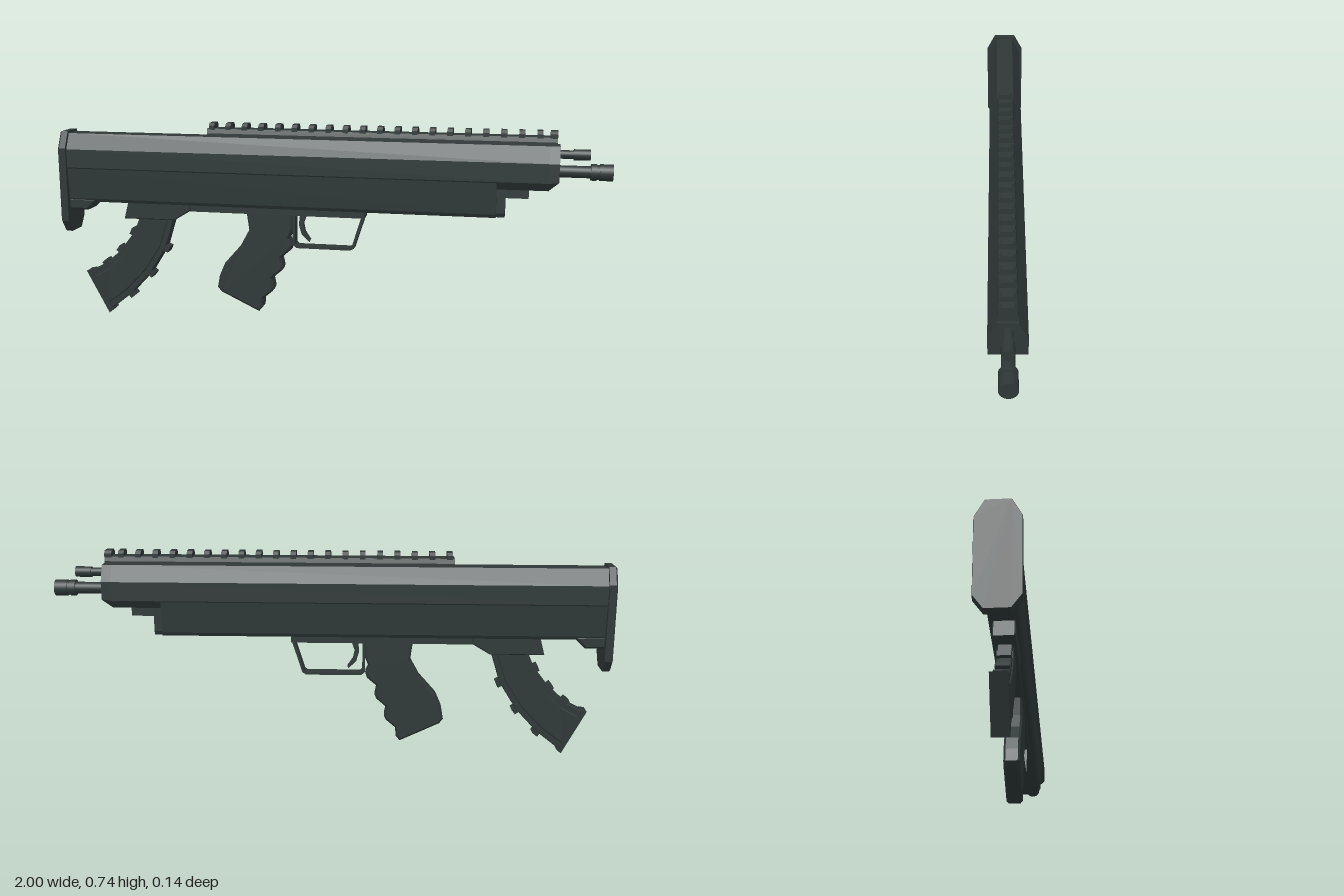
import * as THREE from 'three';

const gunmetal = new THREE.MeshStandardMaterial({ color: 0x2e3837 });
gunmetal.name = 'dark gunmetal';

export function createModel() {
  const model = new THREE.Group();
  const add = (name, geometry, parent = model) => {
    const mesh = new THREE.Mesh(geometry, gunmetal);
    mesh.name = name;
    parent.add(mesh);
    return mesh;
  };
  const group = (name) => {
    const g = new THREE.Group();
    g.name = name;
    model.add(g);
    return g;
  };

  // Symmetric sections along x; each half runs from top to bottom as [z, y]
  const loft = (sections) => {
    const rings = sections.map(([x, half]) =>
      [...half, ...half.map(([z, y]) => [-z, y]).reverse()].map(([z, y]) => [x, y, z]));
    const n = rings[0].length;
    const pos = [];
    const tri = (...corners) => corners.forEach((c) => pos.push(...c));
    for (let s = 0; s < rings.length - 1; s++) {
      const [a, b] = [rings[s], rings[s + 1]];
      for (let i = 0; i < n; i++) {
        const j = (i + 1) % n;
        tri(a[i], a[j], b[j]);
        tri(a[i], b[j], b[i]);
      }
    }
    const [first, last] = [rings[0], rings[rings.length - 1]];
    for (let i = 1; i < n - 1; i++) {
      tri(first[0], first[i + 1], first[i]);
      tri(last[0], last[i], last[i + 1]);
    }
    const g = new THREE.BufferGeometry();
    g.setAttribute('position', new THREE.Float32BufferAttribute(pos, 3));
    g.computeVertexNormals();
    return g;
  };

  // Side outline in x/y, extruded to +-halfWidth with chamfered edges
  const slab = (points, halfWidth, bevel = 0, hole) => {
    const shape = new THREE.Shape(points.map(([x, y]) => new THREE.Vector2(x, y)));
    if (hole) shape.holes.push(new THREE.Path(hole.map(([x, y]) => new THREE.Vector2(x, y))));
    const g = new THREE.ExtrudeGeometry(shape, {
      depth: 2 * (halfWidth - bevel), bevelEnabled: bevel > 0, bevelThickness: bevel,
      bevelSize: bevel, bevelOffset: -bevel, bevelSegments: 1,
    });
    return g.translate(0, 0, bevel - halfWidth);
  };
  const box = (x0, x1, y0, y1, halfWidth) =>
    new THREE.BoxGeometry(x1 - x0, y1 - y0, halfWidth * 2).translate((x0 + x1) / 2, (y0 + y1) / 2, 0);
  const rod = (x0, x1, y, r) =>
    new THREE.CylinderGeometry(r, r, x1 - x0, 24).rotateZ(-Math.PI / 2).translate((x0 + x1) / 2, y, 0);

  // Receiver: faceted upper shell with a sloping chin, tapered lower shell
  const upper = [[0.031, 0.692], [0.06, 0.635], [0.06, 0.567], [0.04, 0.538]];
  const nose = [[0.031, 0.692], [0.06, 0.635], [0.06, 0.572], [0.06, 0.571]];
  add('upperReceiver', loft([[-0.975, upper], [0.785, upper], [0.82, nose]]));
  const lower = [[0.057, 0.563], [0.05, 0.45], [0.042, 0.437]];
  add('lowerReceiver', loft([[-0.975, lower], [0.61, lower]]));
  const foreEnd = [[0.035, 0.54], [0.035, 0.452], [0.028, 0.437]];
  add('foreEndCap', loft([[0.6, foreEnd], [0.64, foreEnd]]));
  add('foreEndStep', box(0.63, 0.72, 0.507, 0.545, 0.033));
  add('bottomPlate', box(-0.52, 0.145, 0.412, 0.445, 0.03));

  // Shoulder end
  const butt = (s) => [[0.04 * s, 0.51 + 0.19 * s], [0.072 * s, 0.51 + 0.13 * s],
    [0.072 * s, 0.51 - 0.145 * s], [0.04 * s, 0.51 - 0.19 * s]];
  add('buttPlate', loft([[-1, butt(0.98)], [-0.995, butt(1)], [-0.972, butt(1)]]));
  add('stockFoot', slab([[-0.98, 0.45], [-0.98, 0.405], [-0.905, 0.405], [-0.872, 0.437], [-0.872, 0.45]],
    0.048, 0.008));

  // Top rail with evenly spaced teeth
  const rail = group('topRail');
  const base = [[0.026, 0.722], [0.031, 0.705], [0.031, 0.688]];
  add('railBase', loft([[-0.435, base], [0.81, base]]), rail);
  const tooth = [[0.018, 0.742], [0.028, 0.732], [0.028, 0.718]];
  for (let i = 0; i < 20; i++) {
    const x = -0.428 + i * 0.0615;
    add('railTooth', loft([[x, tooth], [x + 0.02, tooth]]), rail);
  }
  add('railEnd', loft([[0.785, tooth], [0.81, tooth]]), rail);

  // Barrel with muzzle, gas tube above it
  const barrel = group('barrel');
  add('barrelTube', rod(0.8, 0.95, 0.602, 0.021), barrel);
  add('muzzleCollar', rod(0.925, 0.945, 0.602, 0.029), barrel);
  add('muzzleNeck', rod(0.94, 0.96, 0.602, 0.026), barrel);
  add('muzzle', rod(0.955, 1, 0.602, 0.029), barrel);
  add('gasTube', rod(0.8, 0.88, 0.661, 0.015), barrel);
  add('gasTubeCap', rod(0.865, 0.922, 0.661, 0.019), barrel);

  // Magazine well and curved magazine
  add('magazineWell', slab([[-0.745, 0.45], [-0.765, 0.376], [-0.57, 0.376], [-0.505, 0.415], [-0.505, 0.45]],
    0.036, 0.004));
  const magazine = group('magazine');
  const rear = [[-0.7, 0.4], [-0.735, 0.32], [-0.79, 0.25], [-0.85, 0.195], [-0.922, 0.158]];
  const front = [[-0.57, 0.4], [-0.612, 0.265], [-0.675, 0.165], [-0.755, 0.08], [-0.842, 0.012]];
  const mix = (a, b, t) => [a[0] + (b[0] - a[0]) * t, a[1] + (b[1] - a[1]) * t];
  const band = (t0, t1) => [...rear.map((p, i) => mix(p, front[i], t0)),
    ...rear.map((p, i) => mix(p, front[i], t1)).reverse()];
  add('magazineBody', slab(band(0, 1), 0.023, 0.003), magazine);
  add('magazineSidePanel', slab(band(0.15, 0.85), 0.027, 0.003), magazine);
  add('magazineBase', slab([[-0.93, 0.162], [-0.845, 0], [-0.828, 0.015], [-0.91, 0.166]], 0.027), magazine);
  for (let i = 1; i < 4; i++) {
    for (const [own, other] of [[rear[i], front[i]], [front[i], rear[i]]]) {
      const lug = new THREE.BoxGeometry(0.036, 0.024, 0.044);
      lug.rotateZ(Math.atan2(other[1] - own[1], other[0] - own[0]));
      const [x, y] = mix(own, other, 0.03);
      add('magazineLug', lug.translate(x, y, 0), magazine);
    }
  }

  // Pistol grip with finger grooves
  add('grip', slab([[-0.295, 0.425], [-0.285, 0.35], [-0.318, 0.29], [-0.38, 0.22], [-0.402, 0.17],
    [-0.41, 0.125], [-0.395, 0.108], [-0.252, 0.04], [-0.237, 0.058], [-0.235, 0.09], [-0.2, 0.12],
    [-0.193, 0.135], [-0.2, 0.17], [-0.165, 0.2], [-0.158, 0.215], [-0.165, 0.25], [-0.13, 0.28],
    [-0.123, 0.3], [-0.135, 0.325], [-0.12, 0.36], [-0.12, 0.425]], 0.027, 0.007));

  // Trigger guard and trigger
  add('triggerGuard', slab([[-0.122, 0.425], [-0.122, 0.302], [-0.108, 0.289], [0.092, 0.289], [0.106, 0.297],
    [0.147, 0.425]], 0.02, 0,
  [[-0.112, 0.416], [0.133, 0.416], [0.098, 0.305], [0.089, 0.299], [-0.104, 0.299], [-0.112, 0.306]]));
  add('trigger', slab([[-0.095, 0.42], [-0.1, 0.375], [-0.09, 0.34], [-0.062, 0.312], [-0.058, 0.32],
    [-0.078, 0.35], [-0.084, 0.38], [-0.07, 0.42]], 0.01));

  return model;
}
